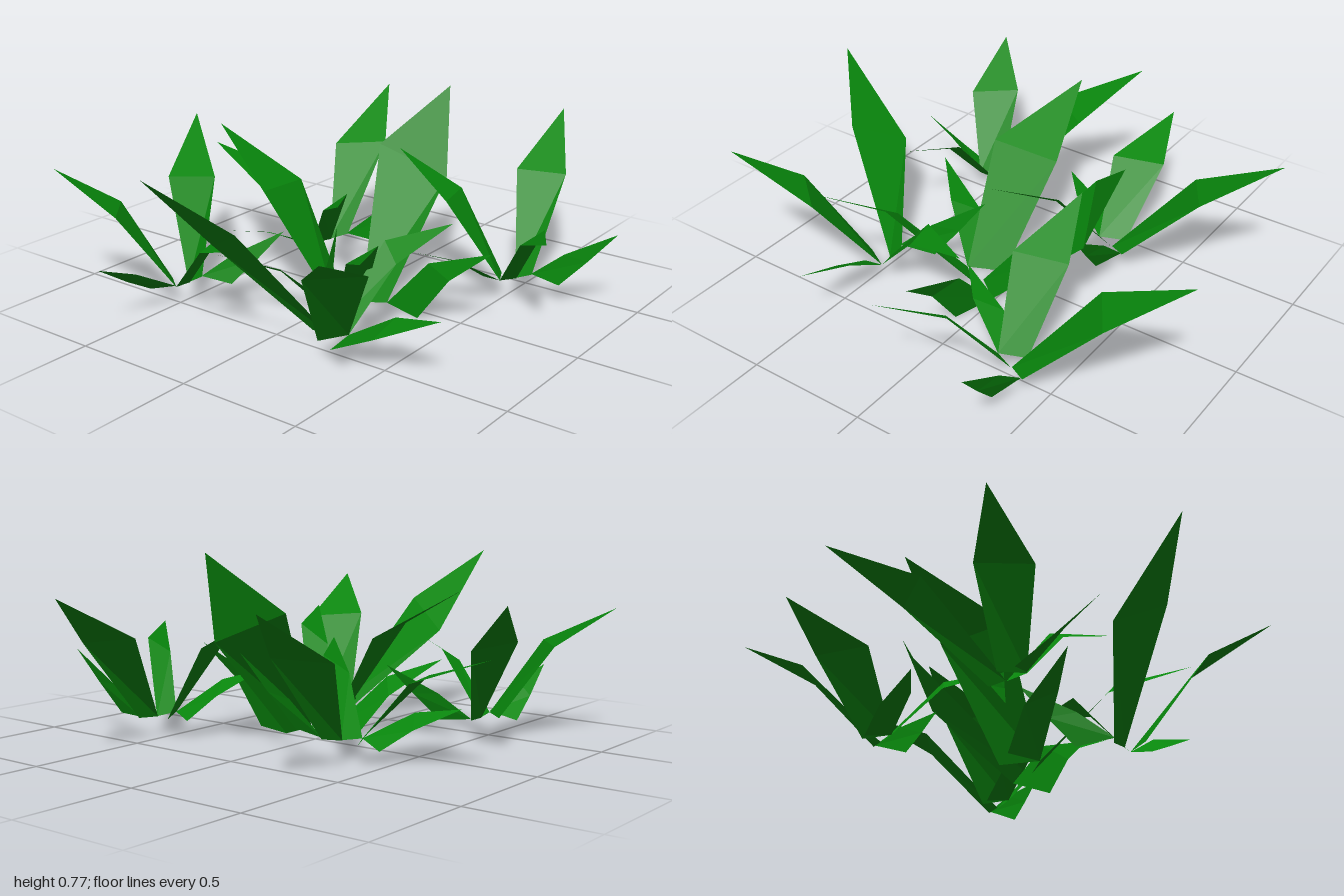
import * as THREE from 'three';

// One clump of five leaves; each leaf: base pair, middle pair, tip
const LEAVES = {
  tallLeaf: [[0.27, 0.09, 0.51], [0.37, 0.08, 0.46], [0.19, 0.40, 0.30], [0.40, 0.39, 0.24], [0.30, 0.54, 0.0]],
  longLeaf: [[0.35, 0.08, 0.535], [0.42, 0.08, 0.57], [0.62, 0.44, 0.37], [0.73, 0.42, 0.54], [0.99, 0.62, 0.38]],
  thinLeaf: [[0.415, 0.085, 0.57], [0.385, 0.08, 0.71], [0.42, 0.20, 0.71], [0.405, 0.20, 0.82], [0.425, 0.33, 0.93]],
  archedLeaf: [[0.35, 0.08, 0.54], [0.27, 0.09, 0.51], [0.21, 0.37, 0.73], [0.15, 0.31, 0.66], [-0.02, 0.41, 0.86]],
  lowLeaf: [[0.27, 0.09, 0.51], [0.31, 0.07, 0.41], [0.09, 0.21, 0.42], [0.19, 0.16, 0.36], [-0.02, 0.25, 0.30]],
};

// Each clump: root corner, then tips of the tall, long and arched leaves
const CLUMPS = {
  frontLeftClump: [[0.27, 0.09, 0.51], [0.30, 0.54, 0.0], [0.99, 0.62, 0.38], [-0.02, 0.41, 0.86]],
  backLeftClump: [[0.17, 0.08, -0.36], [0.19, 0.43, -0.92], [0.90, 0.62, -0.48], [-0.12, 0.40, 0.0]],
  backRightClump: [[-0.54, 0.085, -0.48], [-0.72, 0.53, -0.94], [0.04, 0.60, -0.89], [-0.64, 0.36, -0.07]],
  centreClump: [[-0.21, 0.015, 0.06], [-0.10, 0.63, -0.62], [0.53, 0.77, 0.09], [-0.65, 0.45, 0.50]],
  frontRightClump: [[-0.46, 0.07, 0.31], [-0.97, 0.57, 0.58], [-1.0, 0.70, -0.16], [0.04, 0.38, 0.43]],
};

// Leaves that bend differently from the common clump, in model space
const VARIANTS = {
  backRightClump: {
    lowLeaf: [[-0.54, 0.09, -0.48], [-0.57, 0.06, -0.59], [-0.72, 0.19, -0.51], [-0.71, 0.14, -0.57], [-0.88, 0.25, -0.54]],
  },
  centreClump: {
    tallLeaf: [[-0.21, 0.015, 0.06], [-0.07, 0.01, -0.01], [-0.28, 0.46, -0.24], [0.0, 0.43, -0.28], [-0.10, 0.63, -0.62]],
    longLeaf: [[-0.10, 0.02, 0.10], [-0.01, 0, 0.16], [0.30, 0.54, -0.10], [0.41, 0.42, 0.16], [0.53, 0.77, 0.09]],
    thinLeaf: [[-0.01, 0, 0.16], [-0.06, 0, 0.34], [-0.02, 0.22, 0.36], [-0.06, 0.19, 0.48], [-0.04, 0.33, 0.65]],
    lowLeaf: [[-0.21, 0.015, 0.06], [-0.17, 0.01, -0.09], [-0.39, 0.21, -0.07], [-0.29, 0.15, -0.15], [-0.55, 0.28, -0.24]],
  },
  frontRightClump: {
    longLeaf: [[-0.48, 0.06, 0.235], [-0.48, 0.055, 0.16], [-0.79, 0.50, 0.07], [-0.68, 0.38, -0.14], [-1.0, 0.71, -0.16]],
    lowLeaf: [[-0.46, 0.07, 0.31], [-0.56, 0.045, 0.30], [-0.45, 0.19, 0.51], [-0.55, 0.13, 0.48], [-0.50, 0.25, 0.73]],
  },
};

// Matrix whose axes run from the root to the three tips
function clumpFrame(points) {
  const [root, ...tips] = points.map((p) => new THREE.Vector3(...p));
  const axes = tips.map((t) => t.sub(root));
  return new THREE.Matrix4().makeBasis(...axes).setPosition(root);
}

// Flat leaf: a quad up to the fold and a triangle to the tip
function leafGeometry(points, matrix) {
  const corners = points.map((p) => new THREE.Vector3(...p).applyMatrix4(matrix));
  corners.forEach((c) => { c.y = Math.max(c.y, 0); });
  const order = [0, 1, 3, 0, 3, 2, 2, 3, 4];
  const geometry = new THREE.BufferGeometry().setFromPoints(order.map((i) => corners[i]));
  geometry.computeVertexNormals();
  return geometry;
}

export function createModel() {
  const model = new THREE.Group();
  model.name = 'plant';
  const leafGreen = new THREE.MeshStandardMaterial({ color: 0x08860c, side: THREE.DoubleSide, flatShading: true });
  leafGreen.name = 'leafGreen';
  const toLocal = clumpFrame(CLUMPS.frontLeftClump).invert();
  const inPlace = new THREE.Matrix4();

  for (const [name, points] of Object.entries(CLUMPS)) {
    const clump = new THREE.Group();
    clump.name = name;
    const matrix = clumpFrame(points).multiply(toLocal);
    for (const [leafName, leaf] of Object.entries(LEAVES)) {
      const variant = VARIANTS[name]?.[leafName];
      const geometry = variant ? leafGeometry(variant, inPlace) : leafGeometry(leaf, matrix);
      const mesh = new THREE.Mesh(geometry, leafGreen);
      mesh.name = leafName;
      clump.add(mesh);
    }
    model.add(clump);
  }
  return model;
}
